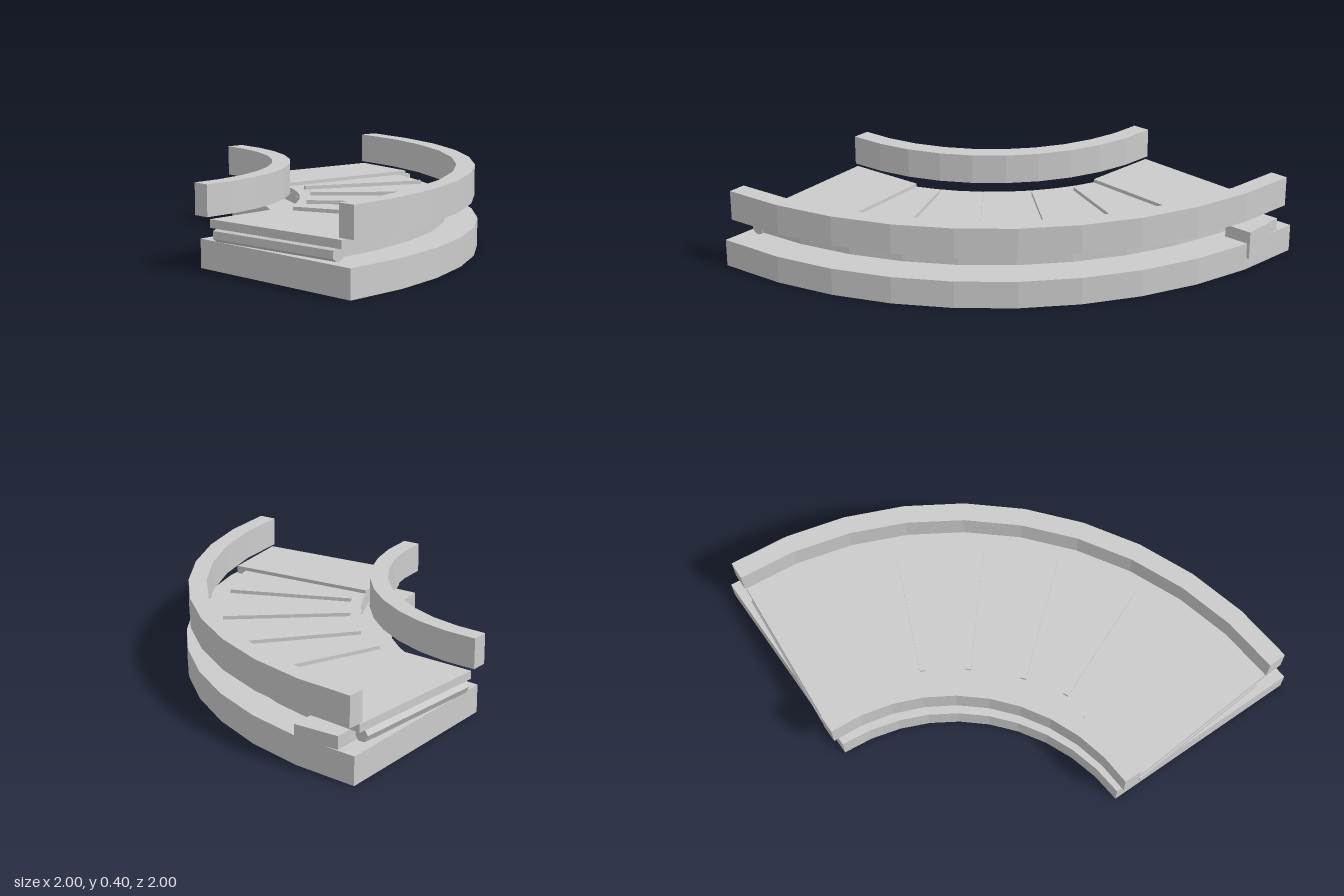
import * as THREE from 'three';

const material = new THREE.MeshStandardMaterial({ color: 0xcccccc, flatShading: true });
const CENTRE = -1; // bend centre in both x and z
const DEG = Math.PI / 180;

// Points [x, z] on an arc around the bend centre
function arc(radius, from, to, steps = 10) {
  return Array.from({ length: steps + 1 }, (_, i) => {
    const a = (from + ((to - from) * i) / steps) * DEG;
    return [CENTRE + radius * Math.cos(a), CENTRE + radius * Math.sin(a)];
  });
}

// Plan outline of a curved strip
function band(inner, outer, from, to, steps) {
  return [...arc(outer, from, to, steps), ...arc(inner, from, to, steps).reverse()];
}

// Swap x and z: mirrors a plan point across the bend's diagonal
const swap = ([x, z]) => [z, x];

export function createModel() {
  const model = new THREE.Group();

  function add(name, geometry) {
    const mesh = new THREE.Mesh(geometry, material);
    mesh.name = name;
    model.add(mesh);
    return mesh;
  }

  // Extrude a plan outline between two heights
  function slab(name, points, y0, y1) {
    const shape = new THREE.Shape(points.map(([x, z]) => new THREE.Vector2(x, -z)));
    const geometry = new THREE.ExtrudeGeometry(shape, { depth: y1 - y0, bevelEnabled: false });
    geometry.rotateX(-Math.PI / 2).translate(0, y0, 0);
    return add(name, geometry);
  }

  // Straight bar between two plan points
  function bar(name, [ax, az], [bx, bz], width, y0, y1) {
    const geometry = new THREE.BoxGeometry(Math.hypot(bx - ax, bz - az), y1 - y0, width);
    const mesh = add(name, geometry);
    mesh.position.set((ax + bx) / 2, (y0 + y1) / 2, (az + bz) / 2);
    mesh.rotation.y = -Math.atan2(bz - az, bx - ax);
  }

  // Base with square-cut ends
  const outerEdge = arc(2, 2, 88);
  const innerEdge = arc(0.985, 2, 88).reverse();
  for (const edge of [outerEdge, innerEdge]) {
    for (const p of edge) {
      p[0] = Math.max(p[0], -0.967);
      p[1] = Math.max(p[1], -0.967);
    }
  }
  outerEdge[0] = [1, -0.967];
  outerEdge[10] = [-0.967, 1];
  slab('base', [...outerEdge, ...innerEdge], 0, 0.137);

  // Guard rails
  slab('outerRail', band(1.895, 1.985, 2, 88), 0.25, 0.4);
  slab('innerRail', band(0.99, 1.08, 0, 90), 0.25, 0.4);

  // Deck and curved belt
  slab('deck', band(1.125, 1.85, 3, 87), 0.152, 0.2);
  slab('belt', band(1.125, 1.85, 14, 76), 0.2, 0.222);

  // Parts repeated at both ends
  const panel = [[0.08, -0.985], [0.9, -0.925], [0.84, -0.53], [0.05, -0.59]];
  const ribs = [
    [[0.045, -0.452], [0.63, -0.205]],
    [[-0.075, -0.267], [0.41, 0.145]],
  ];
  for (const place of [(p) => p, swap]) {
    slab('endPanel', panel.map(place), 0.2, 0.24);

    for (const rib of ribs) {
      const [a, b] = rib.map(place);
      bar('beltRib', a, b, 0.026, 0.215, 0.24);
      bar('returnRib', a, b, 0.026, 0.14, 0.155);
    }

    // Six-sided end roller beneath the panel edge
    const [a, b] = [[0.1, -0.955], [0.85, -0.9]].map(place);
    const start = new THREE.Vector3(a[0], 0.168, a[1]);
    const end = new THREE.Vector3(b[0], 0.168, b[1]);
    const roller = add('endRoller', new THREE.CylinderGeometry(0.036, 0.036, start.distanceTo(end), 6));
    roller.position.copy(start).add(end).multiplyScalar(0.5);
    roller.quaternion.setFromUnitVectors(new THREE.Vector3(0, 1, 0), end.sub(start).normalize());
  }

  // Drive housing on the outer side
  const housing = add('driveHousing', new THREE.BoxGeometry(0.145, 0.14, 0.23));
  housing.position.set(0.91, 0.13, -0.755);

  return model;
}
